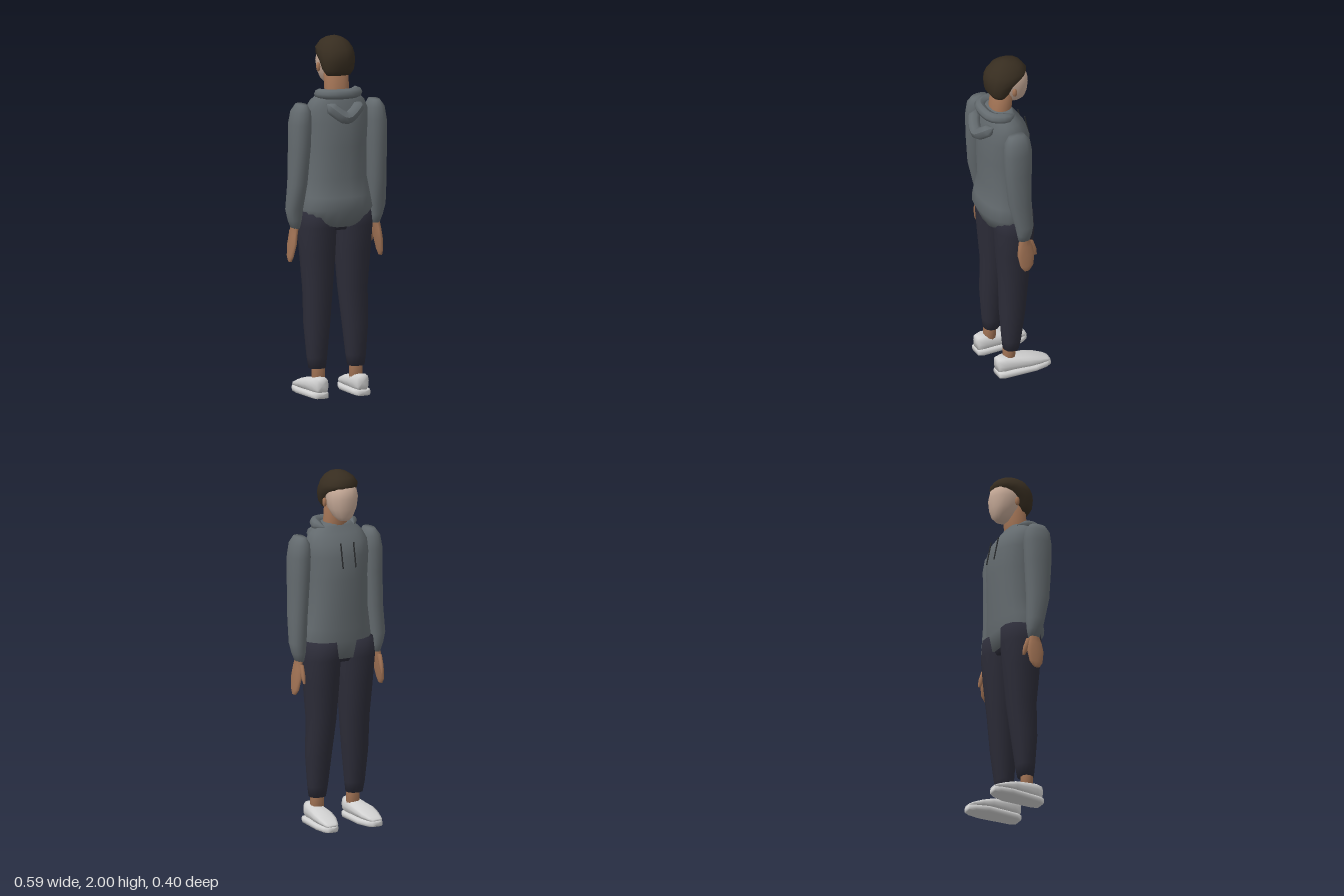
import * as THREE from 'three';

const mat = (name, color, side = THREE.FrontSide) => {
  const m = new THREE.MeshStandardMaterial({ color, side });
  m.name = name;
  return m;
};

// Closed skin over rings [y, xMin, xMax, zMin, zMax], listed from low to high.
// power < 1 makes the sections squarer.
function loft(rings, n = 14, power = 0.9) {
  const pos = [], idx = [];
  const bend = (v) => Math.sign(v) * Math.abs(v) ** power;
  for (const [y, x0, x1, z0, z1] of rings) {
    for (let j = 0; j < n; j++) {
      const a = (j / n) * Math.PI * 2;
      pos.push((x0 + x1) / 2 + bend(Math.cos(a)) * (x1 - x0) / 2, y,
        (z0 + z1) / 2 + bend(Math.sin(a)) * (z1 - z0) / 2);
    }
  }
  const last = (rings.length - 1) * n, low = rings.length * n;
  for (const [y, x0, x1, z0, z1] of [rings[0], rings[rings.length - 1]]) {
    pos.push((x0 + x1) / 2, y, (z0 + z1) / 2);
  }
  for (let j = 0; j < n; j++) {
    const k = (j + 1) % n;
    for (let r = 0; r < last; r += n) {
      idx.push(r + j, r + j + n, r + k, r + k, r + j + n, r + k + n);
    }
    idx.push(low, j, k, low + 1, last + k, last + j);
  }
  const g = new THREE.BufferGeometry();
  g.setAttribute('position', new THREE.Float32BufferAttribute(pos, 3));
  g.setIndex(idx);
  g.computeVertexNormals();
  return g;
}

const mirror = (rings, s) => (s > 0 ? rings : rings.map(([y, a, b, c, d]) => [y, -b, -a, c, d]));
// Symmetric ring
const sym = (y, x, z0, z1) => [y, -x, x, z0, z1];

export function createModel() {
  const model = new THREE.Group();
  const hoodie = mat('hoodie grey', 0x636a6e);
  const pants = mat('trouser navy', 0x2c2c38);
  const skin = mat('skin', 0xa07254);
  const faceSkin = mat('face', 0xc4a896);
  const hair = mat('hair brown', 0x372d20);
  const shoe = mat('shoe white', 0xd2d2d2);
  const cord = mat('cord dark', 0x2a2c2e);
  const add = (name, geo, material) => {
    const m = new THREE.Mesh(geo, material);
    m.name = name;
    model.add(m);
    return m;
  };

  // Head, hair and neck; the face looks along -z
  add('neck', loft([
    sym(1.62, 0.08, -0.03, 0.1), sym(1.7, 0.068, -0.035, 0.085), sym(1.83, 0.068, -0.05, 0.07),
  ]), skin);
  add('face', loft([
    sym(1.73, 0.03, -0.1, -0.03), sym(1.755, 0.055, -0.12, 0.0), sym(1.8, 0.078, -0.13, 0.03),
    sym(1.86, 0.088, -0.136, 0.05), sym(1.91, 0.08, -0.125, 0.05), sym(1.95, 0.05, -0.08, 0.03),
  ]), faceSkin);
  add('hair', loft([
    sym(1.79, 0.07, 0.01, 0.085), sym(1.82, 0.09, -0.015, 0.105), sym(1.87, 0.1, -0.05, 0.112),
    sym(1.905, 0.103, -0.11, 0.112), sym(1.935, 0.098, -0.126, 0.1), sym(1.97, 0.075, -0.1, 0.075),
    sym(1.99, 0.045, -0.065, 0.045), sym(2.0, 0.015, -0.025, 0.01),
  ]), hair);

  // Torso, with the hem hanging lower at the middle
  const torso = loft([
    sym(1.0, 0.187, -0.1, 0.115), sym(1.05, 0.203, -0.112, 0.158), sym(1.12, 0.192, -0.116, 0.148),
    sym(1.22, 0.175, -0.118, 0.13), sym(1.4, 0.172, -0.125, 0.142), sym(1.53, 0.18, -0.123, 0.14),
    sym(1.6, 0.178, -0.1, 0.132), sym(1.65, 0.155, -0.065, 0.122), sym(1.69, 0.115, -0.035, 0.11),
    sym(1.705, 0.075, -0.03, 0.095),
  ], 18);
  const p = torso.attributes.position;
  for (let i = 0; i < p.count; i++) {
    if (p.getY(i) < 1.01) p.setY(i, 1.0 - 0.05 * (1 - (p.getX(i) / 0.19) ** 2));
  }
  torso.computeVertexNormals();
  add('hoodieBody', torso, hoodie);

  // Rolled collar and the folded hood behind it
  const roll = (name, pts, r, sy) => {
    const curve = new THREE.CatmullRomCurve3(pts.map((q) => new THREE.Vector3(...q)));
    const g = new THREE.TubeGeometry(curve, 16, r, 8);
    // Taper the tube to points at both ends
    const at = g.attributes.position, v = new THREE.Vector3();
    for (let i = 0; i < at.count; i++) {
      const t = Math.floor(i / 9) / 16, c = curve.getPointAt(t);
      v.fromBufferAttribute(at, i).sub(c).multiplyScalar(Math.min(1, 0.05 + 2.6 * Math.sin(Math.PI * t)));
      at.setXYZ(i, c.x + v.x, c.y + v.y * sy, c.z + v.z);
    }
    g.computeVertexNormals();
    add(name, g, hoodie);
  };
  roll('collar', [[-0.09, 1.685, -0.02], [-0.108, 1.69, 0.04], [-0.075, 1.695, 0.11], [0, 1.695, 0.125],
    [0.075, 1.695, 0.11], [0.108, 1.69, 0.04], [0.09, 1.685, -0.02]], 0.03, 0.95);
  roll('hood', [[-0.1, 1.645, 0.12], [-0.065, 1.61, 0.15], [0, 1.57, 0.168],
    [0.065, 1.61, 0.15], [0.1, 1.645, 0.12]], 0.034, 1.05);

  // Pelvis between the legs
  add('pelvis', loft([sym(0.93, 0.1, -0.08, 0.08), sym(0.97, 0.17, -0.1, 0.1), sym(1.05, 0.17, -0.1, 0.1)]), pants);

  for (const s of [1, -1]) {
    const side = s > 0 ? 'left' : 'right';
    const part = (name, rings, material, n, power) => add(side + name, loft(mirror(rings, s), n, power), material);

    part('Sleeve', [
      [0.945, 0.215, 0.262, -0.03, 0.035], [0.99, 0.205, 0.28, -0.038, 0.045],
      [1.05, 0.2, 0.294, -0.045, 0.058], [1.2, 0.185, 0.288, -0.04, 0.095],
      [1.4, 0.17, 0.285, -0.045, 0.112], [1.53, 0.165, 0.284, -0.048, 0.115],
      [1.6, 0.168, 0.272, -0.038, 0.108], [1.64, 0.19, 0.245, -0.01, 0.085],
    ], hoodie);
    part('Hand', [
      [0.76, 0.262, 0.278, -0.015, 0.02], [0.79, 0.254, 0.28, -0.04, 0.04], [0.86, 0.238, 0.275, -0.05, 0.052],
      [0.91, 0.232, 0.268, -0.04, 0.045], [0.96, 0.22, 0.262, -0.025, 0.03], [1.0, 0.22, 0.262, -0.025, 0.03],
    ], skin, 10);
    part('Thumb', [
      [0.83, 0.238, 0.25, -0.074, -0.056], [0.87, 0.234, 0.256, -0.07, -0.035], [0.93, 0.234, 0.256, -0.05, -0.01],
    ], skin, 8);

    part('TrouserLeg', [
      [0.16, 0.068, 0.163, -0.022, 0.064], [0.22, 0.06, 0.172, -0.035, 0.07],
      [0.4, 0.042, 0.186, -0.06, 0.083], [0.6, 0.022, 0.186, -0.084, 0.083],
      [0.8, 0.008, 0.202, -0.105, 0.1], [0.95, 0.002, 0.213, -0.117, 0.11],
      [1.05, 0.002, 0.2, -0.115, 0.11],
    ], pants);
    part('Ankle', [[0.07, 0.075, 0.15, -0.005, 0.065], [0.2, 0.075, 0.15, -0.005, 0.062]], skin, 10);

    // Shoes are skinned from heel to toe, then laid flat
    const lay = (name, rings, power) => part(name, rings, shoe, 12, power).geometry.rotateX(-Math.PI / 2);
    lay('ShoeSole', [
      [-0.11, 0.085, 0.165, 0, 0.035], [-0.08, 0.072, 0.178, 0, 0.036], [0.1, 0.066, 0.194, 0, 0.036],
      [0.17, 0.088, 0.185, 0, 0.036], [0.2, 0.108, 0.172, 0.004, 0.036],
    ], 0.45);
    lay('ShoeUpper', [
      [-0.108, 0.085, 0.155, 0.03, 0.116], [-0.07, 0.072, 0.172, 0.03, 0.118], [0.0, 0.07, 0.18, 0.03, 0.108],
      [0.07, 0.069, 0.19, 0.03, 0.096], [0.13, 0.076, 0.188, 0.03, 0.076], [0.18, 0.095, 0.178, 0.03, 0.056],
      [0.198, 0.11, 0.17, 0.032, 0.046],
    ], 0.7);

    // Ear and hood cord
    const ear = add(side + 'Ear', new THREE.SphereGeometry(1, 8, 6), skin);
    ear.scale.set(0.012, 0.026, 0.014);
    ear.position.set(s * 0.092, 1.83, -0.018);
    const string = add(side + 'Cord', new THREE.CylinderGeometry(0.004, 0.004, 0.14, 6), cord);
    string.position.set(s * 0.04, 1.54, -0.122);
    string.rotation.x = 0.2;
  }
  return model;
}
